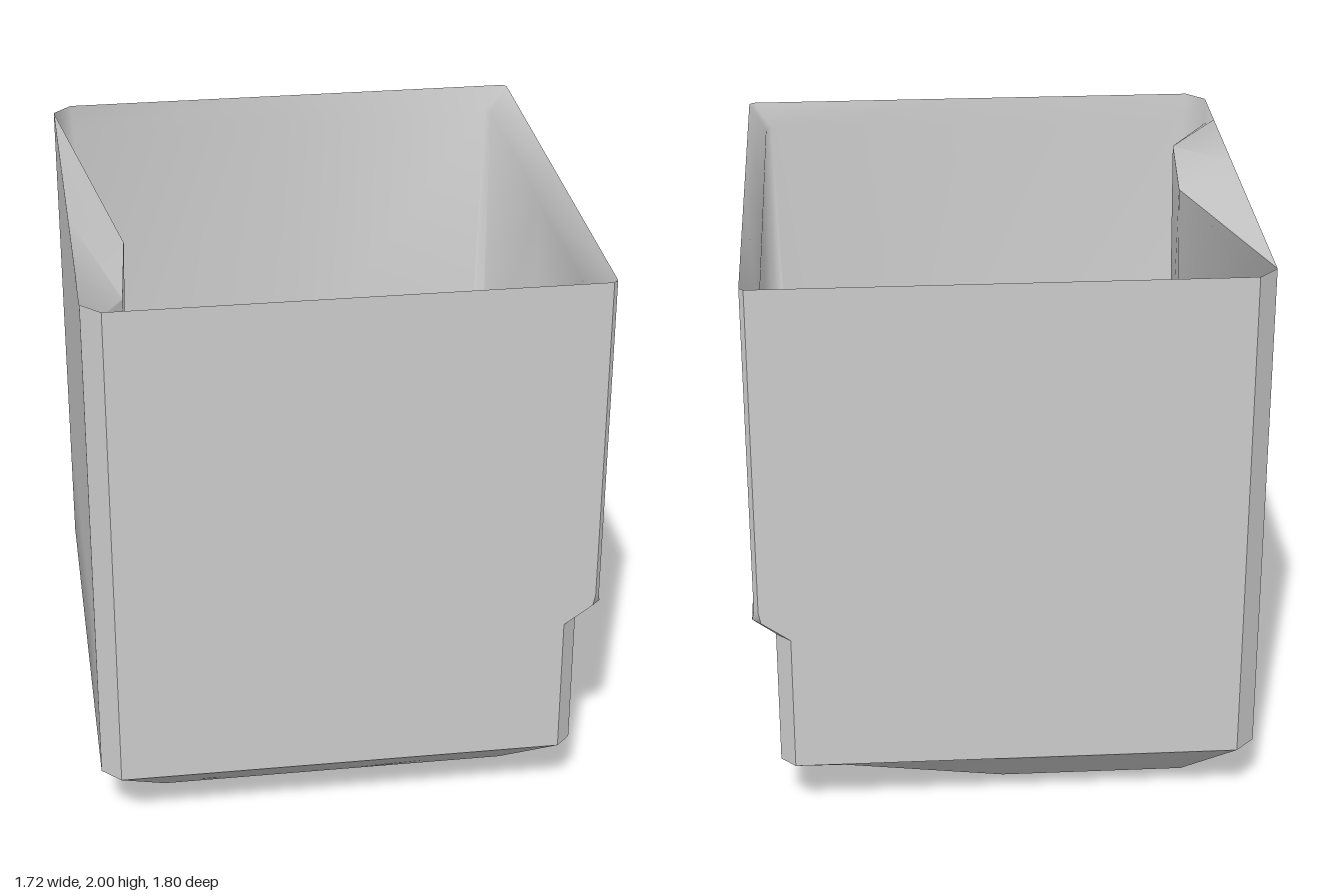
import * as THREE from 'three';
import { toCreasedNormals } from 'three/addons/utils/BufferGeometryUtils.js';

const material = new THREE.MeshStandardMaterial({ color: 0xcccccc, side: THREE.DoubleSide });

// Rectangular ring with clipped corners (cr on +x, cl on -x), seen anticlockwise from above.
// leftBulge pushes two points of the -x side inward.
function ring(y, x0, x1, z0, z1, cr, cl, leftBulge = 0) {
  const points = [
    [x1 - cr, z1], [x1, z1 - cr], [x1, 0], [x1, z0 + cr], [x1 - cr, z0], [0, z0],
    [x0 + cl, z0], [x0, z0 + cl], [x0 + leftBulge, 0.15],
    [x0 + leftBulge * 0.8, 0.6], [x0, z1 - cl], [x0 + cl, z1], [0, z1],
  ];
  return points.map(([x, z]) => new THREE.Vector3(x, typeof y === 'function' ? y(x, z) : y, z));
}

const centre = (x, y, z) => Array.from({ length: 13 }, () => new THREE.Vector3(x, y, z));

// Skin a sequence of rings, skipping collapsed triangles at the centres
function loft(name, rings, crease) {
  const positions = [];
  const triangle = (a, b, c) => {
    if (a.distanceTo(b) < 1e-5 || b.distanceTo(c) < 1e-5 || a.distanceTo(c) < 1e-5) return;
    for (const p of [a, b, c]) positions.push(p.x, p.y, p.z);
  };
  for (let r = 0; r < rings.length - 1; r++) {
    const a = rings[r], b = rings[r + 1];
    for (let i = 0; i < a.length; i++) {
      const j = (i + 1) % a.length;
      triangle(a[i], a[j], b[j]);
      triangle(a[i], b[j], b[i]);
    }
  }
  const geometry = new THREE.BufferGeometry();
  geometry.setAttribute('position', new THREE.Float32BufferAttribute(positions, 3));
  const mesh = new THREE.Mesh(toCreasedNormals(geometry, crease), material);
  mesh.name = name;
  return mesh;
}

// The underside rises gently toward +x and +z
const underside = (x, z) => 0.07 * Math.max(0, x / 0.6, z / 0.73);

export function createModel() {
  const group = new THREE.Group();
  group.name = 'openBox';
  const rim = ring(2, -0.865, 0.85, -0.9, 0.9, 0.015, 0.065);

  // Outer walls: tapered base, narrow lower body, overhanging ledge on +x
  group.add(loft('outerShell', [
    centre(0, 0, 0),
    ring(underside, -0.69, 0.6, -0.67, 0.73, 0.04, 0.05),
    ring(0.22, -0.865, 0.78, -0.9, 0.9, 0.05, 0.065),
    ring(0.72, -0.865, 0.78, -0.9, 0.9, 0.05, 0.065),
    ring(0.79, -0.865, 0.857, -0.9, 0.9, 0.03, 0.065),
    ring(0.83, -0.865, 0.85, -0.9, 0.9, 0.015, 0.065),
    rim,
  ], 0.75));

  // Inner walls: knife-edge rim, bulged -x side, shelf on +x, rounded-in floor
  group.add(loft('innerLining', [
    rim,
    ring(1.9, -0.86, 0.79, -0.895, 0.895, 0.02, 0.065, 0.18),
    ring(0.82, -0.83, 0.78, -0.88, 0.89, 0.04, 0.08, 0.12),
    ring(0.7, -0.82, 0.6, -0.87, 0.88, 0.1, 0.1, 0.1),
    ring(0.25, -0.8, 0.59, -0.82, 0.83, 0.12, 0.12, 0.06),
    ring((x, z) => 0.05 + underside(x, z), -0.66, 0.55, -0.65, 0.7, 0.08, 0.08),
    centre(0, 0.06, 0),
  ], 1.0));

  return group;
}
